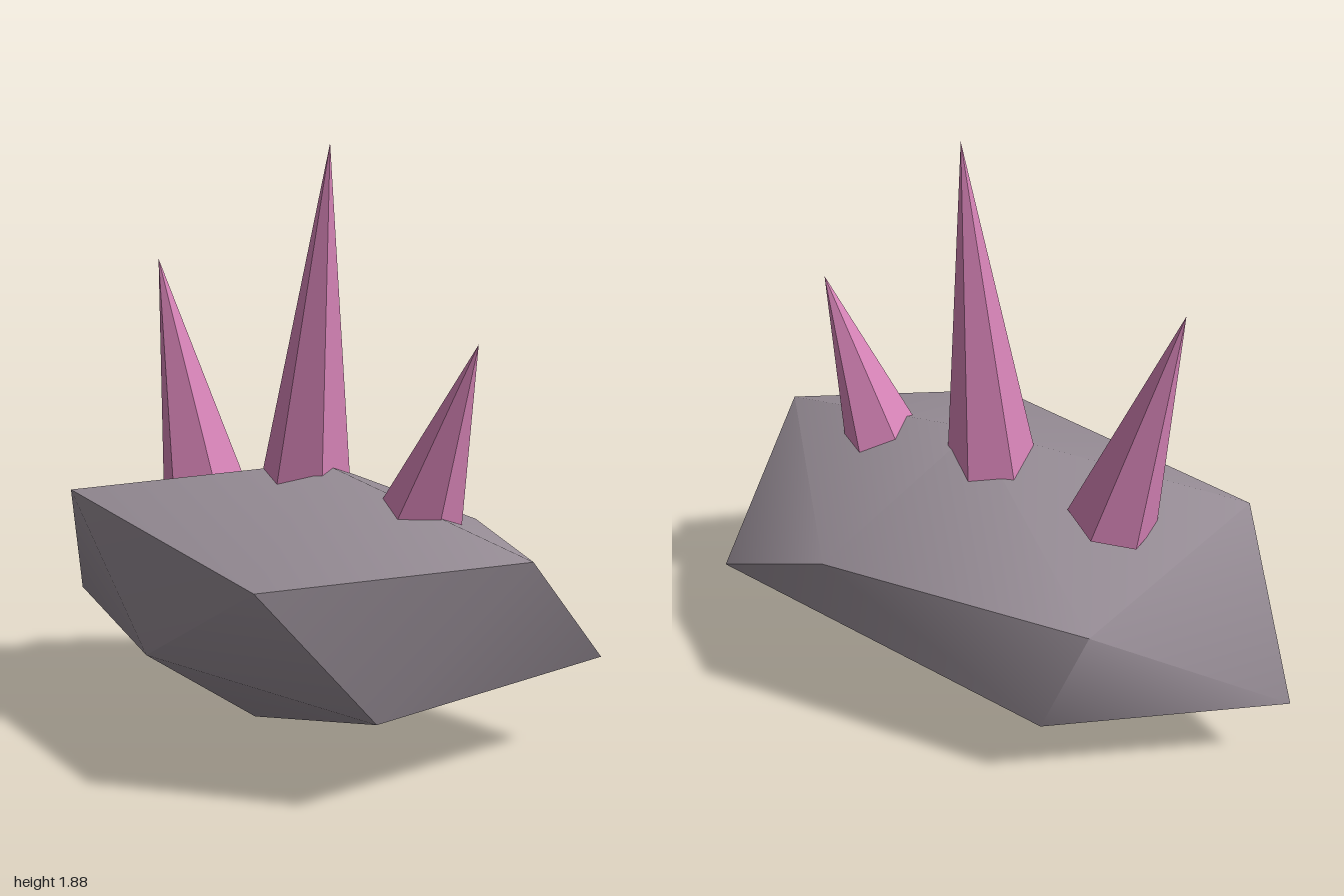
import * as THREE from 'three';
import { toCreasedNormals } from 'three/addons/utils/BufferGeometryUtils.js';

const rockMat = new THREE.MeshStandardMaterial({ color: 0x968c95 });
rockMat.name = 'grey rock';
const crystalMat = new THREE.MeshStandardMaterial({ color: 0xd482b5, flatShading: true });
crystalMat.name = 'pink crystal';

// Irregular twenty-sided boulder: two five-point rings between a top and a bottom point
function createRock() {
  const top = [0.18, 0.89, -0.02];
  const bottom = [-0.04, 0, 0.05];
  const upper = [[-0.69, 0.72, 0.27], [0.44, 0.65, 0.59], [1, 0.73, 0.05], [0.39, 0.63, -0.6], [-0.47, 0.56, -0.42]];
  const lower = [[-0.12, 0.31, 0.47], [0.72, 0.28, 0.39], [0.96, 0.31, -0.45], [-0.36, 0.23, -0.52], [-1, 0.24, -0.04]];
  const points = [];
  for (let i = 0; i < 5; i++) {
    const n = (i + 1) % 5;
    points.push(upper[i], upper[n], top);
    points.push(upper[i], lower[i], upper[n]);
    points.push(lower[i], lower[n], upper[n]);
    points.push(lower[n], lower[i], bottom);
  }
  const geometry = new THREE.BufferGeometry();
  geometry.setAttribute('position', new THREE.Float32BufferAttribute(points.flat(), 3));
  const rock = new THREE.Mesh(toCreasedNormals(geometry, 0.8), rockMat);
  rock.name = 'rock';
  return rock;
}

// Six-sided spike from a point on the rock to its tip, with its foot sunk into the rock
function createSpike(name, base, tip, radius) {
  const start = new THREE.Vector3(...base);
  const end = new THREE.Vector3(...tip);
  const axis = end.clone().sub(start);
  const sink = 0.07;
  const visible = axis.length();
  const length = visible + sink;
  axis.normalize();
  const geometry = new THREE.ConeGeometry(radius * length / visible, length, 6);
  geometry.translate(0, -length / 2, 0);
  const spike = new THREE.Mesh(geometry, crystalMat);
  spike.quaternion.setFromUnitVectors(new THREE.Vector3(0, 1, 0), axis);
  spike.position.copy(end);
  spike.name = name;
  return spike;
}

export function createModel() {
  const model = new THREE.Group();
  model.name = 'crystalRock';
  model.add(
    createRock(),
    createSpike('rightSpike', [-0.36, 0.79, -0.03], [-0.55, 1.5, -0.03], 0.135),
    createSpike('middleSpike', [0.112, 0.84, -0.03], [0.2, 1.88, -0.03], 0.142),
    createSpike('leftSpike', [0.57, 0.8, -0.03], [0.75, 1.31, -0.03], 0.122),
  );
  return model;
}
